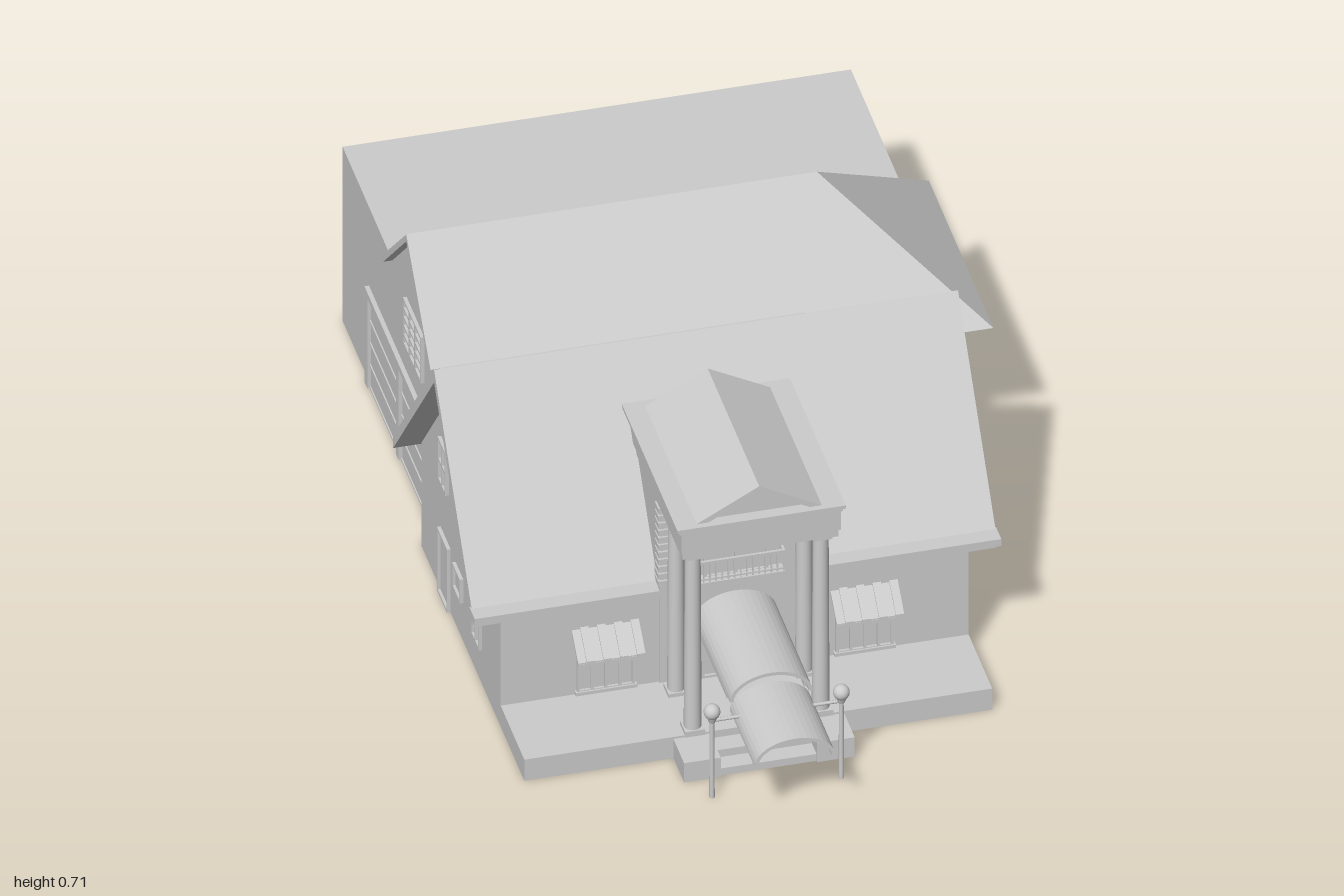
import * as THREE from 'three';

const mat = new THREE.MeshStandardMaterial({ color: 0xcccccc, flatShading: true });
const smooth = new THREE.MeshStandardMaterial({ color: 0xcccccc });
const CX = -0.075; // centre line of the house front

function add(parent, name, geo, material = mat) {
  const m = new THREE.Mesh(geo, material);
  m.name = name;
  parent.add(m);
  return m;
}

// Box given by its minimum and maximum on each axis
function box(parent, name, x0, x1, y0, y1, z0, z1) {
  const m = add(parent, name, new THREE.BoxGeometry(x1 - x0, y1 - y0, z1 - z0));
  m.position.set((x0 + x1) / 2, (y0 + y1) / 2, (z0 + z1) / 2);
  return m;
}

// Prism with a [z, y] outline, running along x
function prismX(parent, name, pts, x0, x1) {
  const shape = new THREE.Shape(pts.map(([z, y]) => new THREE.Vector2(-z, y)));
  const geo = new THREE.ExtrudeGeometry(shape, { depth: x1 - x0, bevelEnabled: false });
  return add(parent, name, geo.rotateY(Math.PI / 2).translate(x0, 0, 0));
}

// Prism with an [x, y] outline, running along z
function prismZ(parent, name, pts, z0, z1) {
  const shape = new THREE.Shape(pts.map(([x, y]) => new THREE.Vector2(x, y)));
  const geo = new THREE.ExtrudeGeometry(shape, { depth: z1 - z0, bevelEnabled: false });
  return add(parent, name, geo.translate(0, 0, z0));
}

// Framed window or door facing +z, standing on its own origin
function opening(parent, name, w, h, cols = 1, rows = 1, t = 0.006, d = 0.008) {
  const g = new THREE.Group();
  g.name = name;
  box(g, 'pane', -w / 2, w / 2, 0, h, -0.004, 0.002);
  for (let i = 0; i <= cols; i++) {
    const x = -w / 2 + t / 2 + (w - t) * i / cols;
    box(g, 'upright', x - t / 2, x + t / 2, 0, h, -0.004, d);
  }
  for (let i = 0; i <= rows; i++) {
    const y = t / 2 + (h - t) * i / rows;
    box(g, 'crossbar', -w / 2, w / 2, y - t / 2, y + t / 2, -0.004, d);
  }
  parent.add(g);
  return g;
}

// Arched shell along z
function archShell(parent, name, half, y0, rise, t, z0, z1) {
  const s = new THREE.Shape();
  s.moveTo(CX + half, y0);
  s.absellipse(CX, y0, half, rise, 0, Math.PI, false);
  s.lineTo(CX - half + t, y0);
  s.absellipse(CX, y0, half - t, rise - t, Math.PI, 0, true);
  const geo = new THREE.ExtrudeGeometry(s, { depth: z1 - z0, bevelEnabled: false, curveSegments: 10 });
  return add(parent, name, geo.translate(0, 0, z0));
}

// Single-sided flat polygon, corners counter-clockwise from outside
function facet(parent, name, corners) {
  const geo = new THREE.BufferGeometry();
  geo.setAttribute('position', new THREE.Float32BufferAttribute(corners.flat(), 3));
  const idx = [];
  for (let i = 1; i < corners.length - 1; i++) idx.push(0, i, i + 1);
  geo.setIndex(idx);
  geo.computeVertexNormals();
  return add(parent, name, geo);
}

function mainHouse(g) {
  prismX(g, 'mainWalls', [[0.49, 0], [0.49, 0.28], [0.16, 0.685], [-0.18, 0.28], [-0.18, 0]], -0.585, 0.435);
  prismX(g, 'mainRoof', [[0.485, 0.3], [0.16, 0.71], [-0.185, 0.295], [-0.185, 0.262], [0.16, 0.677], [0.485, 0.267]], -0.645, 0.497);
  box(g, 'leftEave', 0.105, 0.5, 0.292, 0.31, 0.47, 0.515);
  box(g, 'rightEave', -0.648, -0.245, 0.292, 0.31, 0.47, 0.515);

  // Gable windows and doors: z, bottom, width, height, columns, rows
  const list = [
    [0.16, 0.41, 0.09, 0.16, 1, 1], [0.302, 0.295, 0.065, 0.11, 2, 2], [0.02, 0.295, 0.065, 0.11, 2, 2],
    [0.302, 0.09, 0.065, 0.075, 2, 1], [0.142, 0.1, 0.065, 0.062, 1, 1], [0.025, 0, 0.085, 0.165, 1, 1],
  ];
  for (const side of [1, -1]) {
    for (const [z, y, w, h, c, r] of list) {
      const o = opening(g, h > 0.12 && y === 0 ? 'sideDoor' : 'gableWindow', w, h, c, r);
      o.position.set(side > 0 ? 0.435 : -0.585, y, z);
      o.rotation.y = side * Math.PI / 2;
    }
  }

  // Front windows with scalloped awnings
  for (const side of [-1, 1]) {
    const x = CX + side * 0.282;
    opening(g, 'frontWindow', 0.126, 0.1, 4, 1).position.set(x, 0.062, 0.49);
    box(g, 'windowSill', x - 0.067, x + 0.067, 0.058, 0.066, 0.488, 0.502);
    box(g, 'windowRail', x - 0.06, x + 0.06, 0.135, 0.14, 0.49, 0.498);
    prismX(g, 'awning', [[0.488, 0.225], [0.545, 0.175], [0.545, 0.168], [0.488, 0.215]], x - 0.073, x + 0.073);
    for (let i = 0; i < 8; i++) {
      const cx = x - 0.064 + i * 0.0183;
      prismZ(g, 'awningFlap', [[cx - 0.009, 0.172], [cx - 0.005, 0.163], [cx + 0.005, 0.163], [cx + 0.009, 0.172]], 0.541, 0.546);
      if (i % 2) prismX(g, 'awningStripe', [[0.49, 0.228], [0.547, 0.178], [0.547, 0.172], [0.49, 0.222]], cx - 0.009, cx + 0.009);
    }
  }
}

function porch(g) {
  box(g, 'porchSlab', -0.585, 0.435, 0, 0.055, 0.4, 0.69);
  box(g, 'rightStepCheek', -0.26, -0.18, 0, 0.05, 0.68, 0.78);
  box(g, 'leftStepCheek', 0.03, 0.112, 0, 0.05, 0.68, 0.78);
  box(g, 'lowerStep', -0.18, 0.03, 0, 0.018, 0.68, 0.775);
  box(g, 'upperStep', -0.18, 0.03, 0, 0.037, 0.68, 0.735);
}

function portico(g) {
  // Projecting bay behind the columns, with corner stones
  box(g, 'entranceBay', -0.24, 0.1, 0.04, 0.53, 0.24, 0.495);
  for (let i = 0; i < 11; i++) {
    const y = 0.31 + i * 0.019;
    for (const s of [-1, 1]) {
      const x = -0.07 + s * 0.163;
      box(g, 'cornerStone', x - 0.011, x + 0.011, y, y + 0.013, 0.47, 0.5);
    }
  }
  // Entablature and cornice
  box(g, 'architrave', -0.242, 0.098, 0.52, 0.54, 0.245, 0.698);
  box(g, 'frieze', -0.246, 0.102, 0.54, 0.59, 0.24, 0.703);
  box(g, 'cornice', -0.251, 0.105, 0.59, 0.6, 0.24, 0.706);
  box(g, 'corniceTop', -0.257, 0.11, 0.6, 0.608, 0.238, 0.712);
  // Pediment roof with a recessed front
  const w = 0.14;
  prismZ(g, 'pediment', [[CX - w + 0.02, 0.605], [CX + w - 0.02, 0.605], [CX, 0.668]], 0.27, 0.685);
  prismZ(g, 'pedimentRoof', [[CX - w, 0.606], [CX - w + 0.026, 0.606], [CX, 0.666], [CX + w - 0.026, 0.606], [CX + w, 0.606], [CX, 0.682]], 0.262, 0.698);

  // Columns
  for (const x of [-0.213, 0.066]) for (const z of [0.67, 0.53]) {
    add(g, 'column', new THREE.CylinderGeometry(0.017, 0.019, 0.47, 20), smooth).position.set(x, 0.288, z);
    box(g, 'columnBase', x - 0.022, x + 0.022, 0.05, 0.064, z - 0.022, z + 0.022);
    box(g, 'columnCapital', x - 0.021, x + 0.021, 0.51, 0.522, z - 0.021, z + 0.021);
  }

  // Balcony and its door
  opening(g, 'balconyDoor', 0.14, 0.145, 2, 1).position.set(CX, 0.315, 0.495);
  box(g, 'balconyFloor', -0.178, 0.026, 0.308, 0.32, 0.49, 0.525);
  box(g, 'balconyRail', -0.178, 0.026, 0.368, 0.374, 0.518, 0.524);
  box(g, 'balconyLowerRail', -0.178, 0.026, 0.325, 0.329, 0.519, 0.523);
  for (let i = 0; i <= 15; i++) {
    const x = -0.177 + i * 0.0134;
    box(g, 'baluster', x - 0.0015, x + 0.0015, 0.318, 0.37, 0.5195, 0.5225);
  }
  for (const x of [-0.176, 0.024]) box(g, 'balconySideRail', x - 0.003, x + 0.003, 0.368, 0.374, 0.49, 0.524);

  // Entrance doors
  opening(g, 'entranceDoors', 0.15, 0.125, 2, 1).position.set(CX, 0.055, 0.495);
  for (const s of [-1, 1]) box(g, 'doorPilaster', CX + s * 0.085 - 0.008, CX + s * 0.085 + 0.008, 0.055, 0.2, 0.49, 0.51);
  box(g, 'doorLintel', CX - 0.093, CX + 0.093, 0.18, 0.2, 0.49, 0.51);
}

function canopy(g) {
  archShell(g, 'rearCanopy', 0.09, 0.205, 0.062, 0.008, 0.49, 0.8);
  archShell(g, 'frontCanopy', 0.088, 0.178, 0.058, 0.008, 0.79, 1.0);
  for (const s of [-1, 1]) {
    box(g, 'canopyEdge', CX + s * 0.084 - 0.005, CX + s * 0.084 + 0.005, 0.195, 0.212, 0.49, 0.77);
    // Lamp posts carrying the canopy
    const x = CX + s * 0.141;
    add(g, 'lampPost', new THREE.CylinderGeometry(0.005, 0.006, 0.21, 10), smooth).position.set(x, 0.105, 0.845);
    add(g, 'lampGlobe', new THREE.SphereGeometry(0.018, 16, 12), smooth).position.set(x, 0.223, 0.845);
    add(g, 'lampCollar', new THREE.CylinderGeometry(0.012, 0.007, 0.014, 10), smooth).position.set(x, 0.203, 0.845);
  }
  const bar = add(g, 'canopyBar', new THREE.CylinderGeometry(0.004, 0.004, 0.282, 8), smooth);
  bar.rotation.z = Math.PI / 2;
  bar.position.set(CX, 0.2, 0.845);
}

function rearWing(g) {
  box(g, 'rearBlock', -0.545, 0.563, 0, 0.455, -1, -0.18);
  box(g, 'flatLink', -0.545, 0.495, 0.28, 0.455, -0.19, -0.055);
  prismX(g, 'rearGable', [[-0.18, 0.45], [-0.385, 0.655], [-0.595, 0.45]], -0.545, 0.3);

  // Roof: gabled on one end, hipped on the other
  const a = [-0.565, 0.665, -0.385], b = [0.33, 0.665, -0.385];
  const c = [0.645, 0.39, -0.115], d = [0.645, 0.39, -0.66];
  facet(g, 'rearRoofFront', [a, [-0.565, 0.457, -0.18], [0.497, 0.457, -0.18], [0.51, 0.39, -0.115], c, b]);
  facet(g, 'rearRoofBack', [b, [0.572, 0.454, -0.6], [-0.565, 0.454, -0.6], a]);
  facet(g, 'rearRoofHip', [b, c, d]);
  prismX(g, 'gableVerge', [[-0.18, 0.455], [-0.385, 0.664], [-0.6, 0.455], [-0.58, 0.455], [-0.385, 0.646], [-0.2, 0.455]], -0.565, -0.54);

  // Door beside the main house
  opening(g, 'rearWingDoor', 0.08, 0.165).position.set(0.495, 0, -0.18);

  // Garage doors and louvred gable window
  for (const [z, w] of [[-0.635, 0.26], [-0.385, 0.22]]) {
    const door = opening(g, 'garageDoor', w, 0.235, 1, 4, 0.004, 0.005);
    door.position.set(-0.545, 0, z);
    door.rotation.y = -Math.PI / 2;
  }
  for (const z of [-0.765, -0.5, -0.275]) box(g, 'garagePost', -0.555, -0.54, 0, 0.245, z - 0.012, z + 0.012);
  box(g, 'garageLintel', -0.555, -0.54, 0.235, 0.25, -0.777, -0.263);
  const louvre = opening(g, 'louvredWindow', 0.15, 0.12, 3, 5);
  louvre.position.set(-0.545, 0.325, -0.385);
  louvre.rotation.y = -Math.PI / 2;
}

export function createModel() {
  const model = new THREE.Group();
  model.name = 'house';
  const parts = { mainHouse, porch, portico, canopy, rearWing };
  for (const [name, build] of Object.entries(parts)) {
    const g = new THREE.Group();
    g.name = name;
    build(g);
    model.add(g);
  }
  return model;
}
